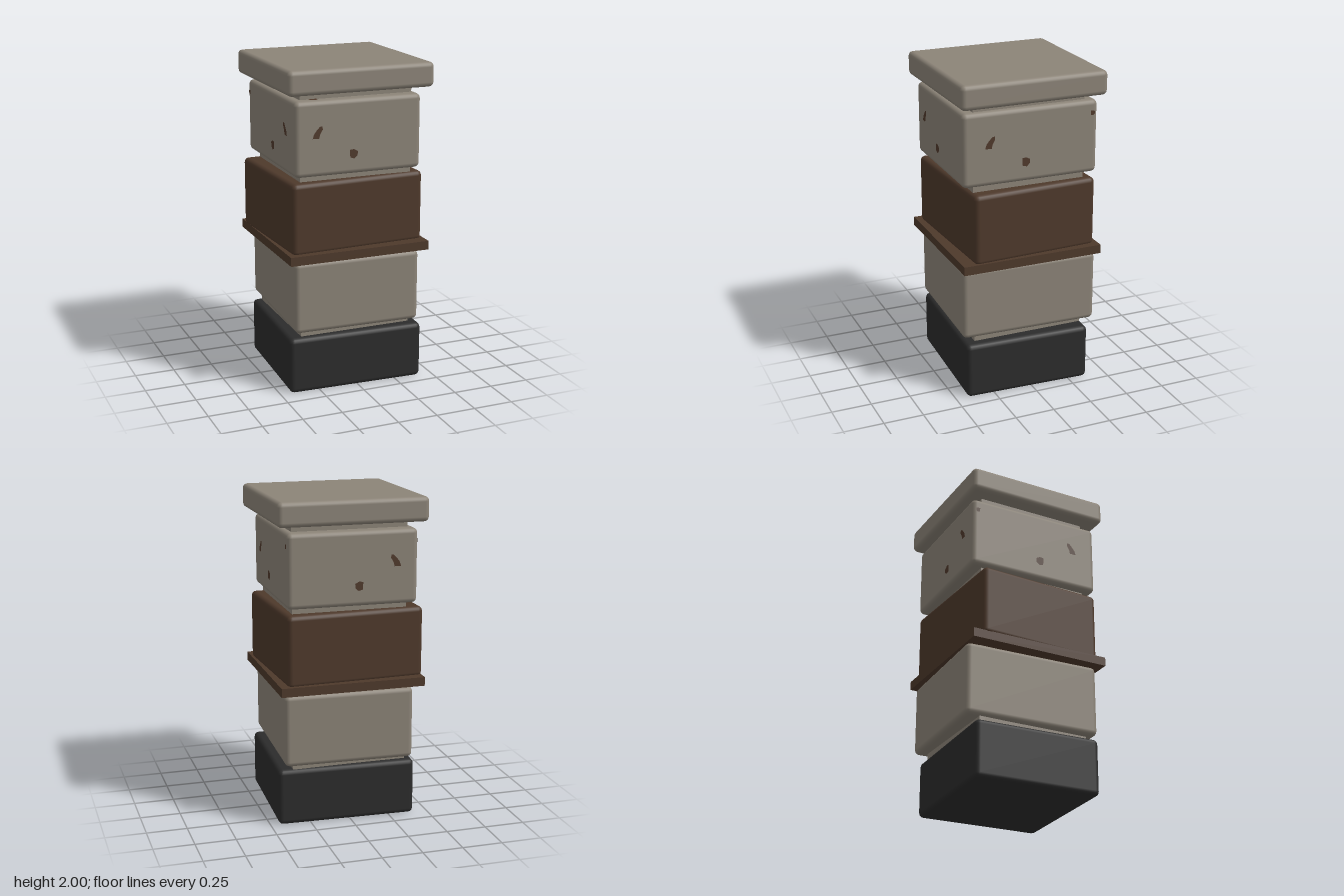
import * as THREE from 'three';
import { RoundedBoxGeometry } from 'three/addons/geometries/RoundedBoxGeometry.js';

const mat = (name, color, side = THREE.FrontSide) => {
  const m = new THREE.MeshStandardMaterial({ color, side });
  m.name = name;
  return m;
};

export function createModel() {
  const stone = mat('stone', 0x8c8478);
  const brown = mat('brownBrick', 0x4e392b);
  const black = mat('blackBase', 0x2c2c2c);
  const rust = mat('rustSpot', 0x503a2c, THREE.DoubleSide);
  const model = new THREE.Group();
  model.name = 'stackedPillar';

  // Block with bevelled edges, slightly turned about the pillar axis
  function block(name, material, w, d, y0, y1, x, z, turn, bevel = 0.03) {
    const geo = bevel ? new RoundedBoxGeometry(w, y1 - y0, d, 2, bevel) : new THREE.BoxGeometry(w, y1 - y0, d);
    const mesh = new THREE.Mesh(geo, material);
    mesh.name = name;
    mesh.position.set(x, (y0 + y1) / 2, z);
    mesh.rotation.y = turn;
    model.add(mesh);
    return mesh;
  }

  block('innerCore', stone, 0.715, 0.715, 0.3, 1.88, 0, 0, 0, 0);
  block('base', black, 0.86, 0.8, 0, 0.353, 0.005, 0.012, -0.04);
  block('lowerStone', stone, 0.8, 0.865, 0.39, 0.837, 0.005, -0.007, -0.037);
  block('ledge', brown, 0.9, 0.9, 0.84, 0.895, -0.003, 0.002, 0, 0);
  block('brownBlock', brown, 0.86, 0.8, 0.88, 1.322, -0.012, -0.005, 0.048);
  const upper = block('upperStone', stone, 0.8, 0.86, 1.36, 1.812, -0.005, -0.003, -0.012);
  block('cap', stone, 0.925, 0.925, 1.85, 2, 0, 0, 0);

  // Rust spots: small irregular plates just off the faces of the upper stone
  const outline = (pts) => new THREE.ShapeGeometry(new THREE.Shape(pts.map(([x, y]) => new THREE.Vector2(x, y))));
  const longSpot = outline([[-0.033, -0.034], [0.008, -0.034], [0.014, -0.008], [0.03, 0.018],
    [0.029, 0.038], [0.012, 0.036], [-0.01, 0.012], [-0.024, -0.006]]);
  const roundSpot = outline([[-0.022, -0.022], [0.004, -0.03], [0.025, -0.012], [0.026, 0.014],
    [0.002, 0.027], [-0.024, 0.024]]);

  function spot(face, geo, u, y, size, mirror) {
    const mesh = new THREE.Mesh(geo, rust);
    mesh.name = 'rustSpot';
    mesh.position.set(u, y - 1.586, face.depth);
    mesh.scale.set(mirror * size, size, 1);
    face.group.add(mesh);
  }
  const faces = [
    { turn: 0, depth: 0.432, mirror: 1 },
    { turn: Math.PI / 2, depth: 0.402, mirror: 1, corner: true },
    { turn: Math.PI, depth: 0.432, mirror: -1 },
    { turn: -Math.PI / 2, depth: 0.402, mirror: -1, corner: true },
  ];
  for (const f of faces) {
    f.group = new THREE.Group();
    f.group.name = 'rustFace';
    f.group.rotation.y = f.turn;
    upper.add(f.group);
    spot(f, longSpot, -0.26 * f.mirror, 1.625, 1, f.mirror);
    spot(f, roundSpot, -0.035 * f.mirror, 1.484, 1, f.mirror);
    if (f.corner) spot(f, roundSpot, 0.395 * f.mirror, 1.735, 0.55, f.mirror);
  }

  // Patch on the upper rim
  const rim = new THREE.Mesh(roundSpot, rust);
  rim.name = 'rimRust';
  rim.rotation.x = -Math.PI / 2;
  rim.position.set(-0.27, 0.228, 0.375);
  upper.add(rim);

  return model;
}
